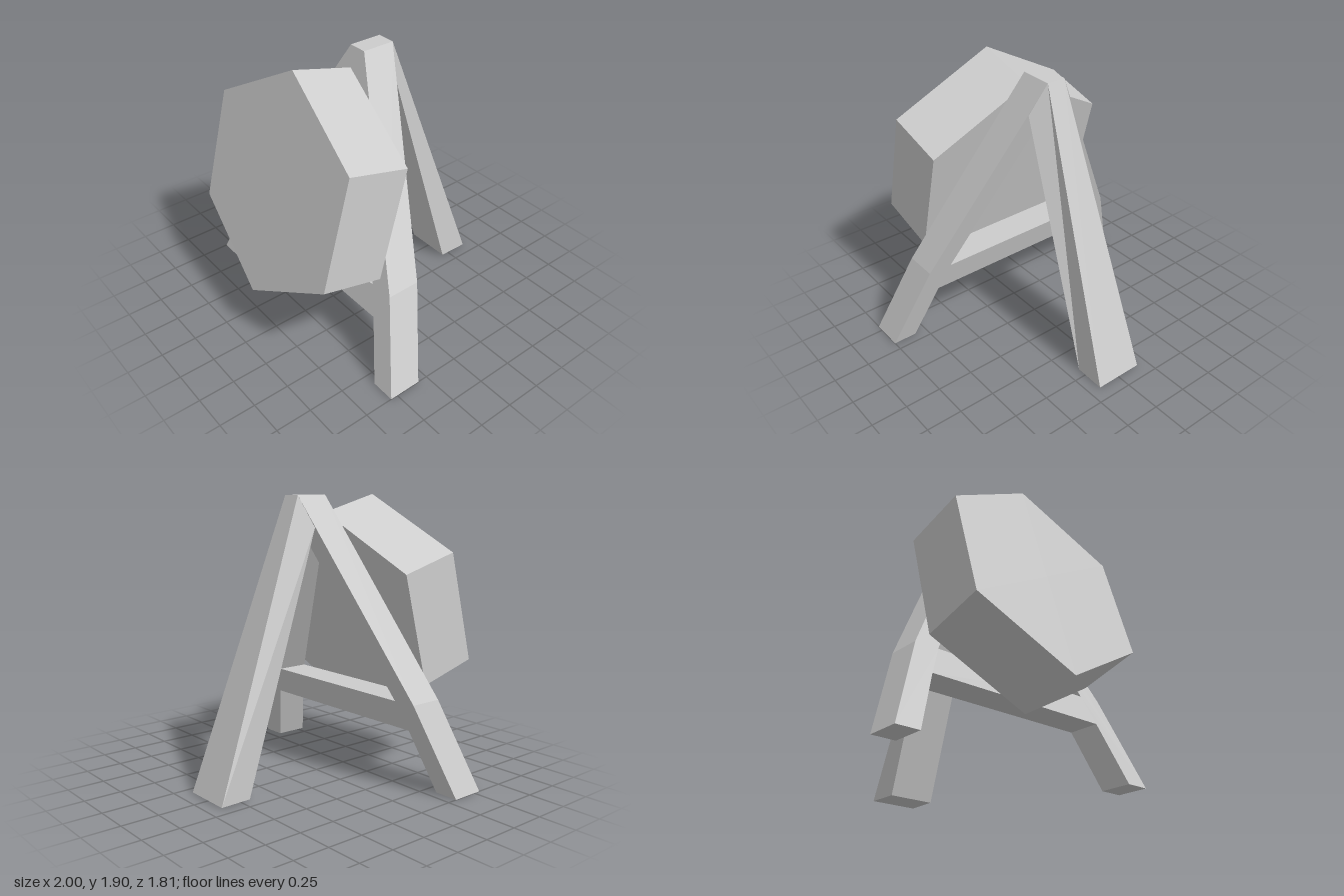
import * as THREE from 'three';

export function createModel() {
  const model = new THREE.Group();
  const grey = new THREE.MeshStandardMaterial({ color: 0xcccccc, flatShading: true });
  grey.name = 'light grey';

  const add = (name, geometry) => {
    const mesh = new THREE.Mesh(geometry, grey);
    mesh.name = name;
    model.add(mesh);
    return mesh;
  };
  const points = (list) => list.map(([x, y]) => new THREE.Vector2(x, y));

  // A-shaped front frame with splayed feet and a triangular opening
  const half = [[0.065, 1.905], [0.77, 0.6], [1, 0], [0.833, 0], [0.682, 0.405]];
  const mirrored = half.map(([x, y]) => [-x, y]).reverse();
  const outline = new THREE.Shape(points([...half, ...mirrored]));
  outline.holes.push(new THREE.Path(points([[-0.605, 0.597], [0.605, 0.597], [0, 1.715]])));
  const frame = new THREE.ExtrudeGeometry(outline, { depth: 0.23, bevelEnabled: false });

  // Lean the frame back by shearing it along z
  const fp = frame.attributes.position;
  for (let i = 0; i < fp.count; i++) {
    fp.setZ(i, fp.getZ(i) + 0.32 - 0.2782 * fp.getY(i));
  }
  frame.computeVertexNormals();
  add('frontFrame', frame);

  // Back leg: a box with its corners moved to a slanted, tapering post
  const leg = new THREE.BoxGeometry(2, 2, 2);
  const lp = leg.attributes.position;
  for (let i = 0; i < lp.count; i++) {
    const top = lp.getY(i) > 0;
    const inner = lp.getZ(i) > 0;
    const [w, y, z] = top
      ? (inner ? [0.168, 1.71, -0.15] : [0.065, 1.905, -0.21])
      : (inner ? [0.165, 0.008, -0.69] : [0.17, 0.008, -0.905]);
    lp.setXYZ(i, lp.getX(i) * w, y, z);
  }
  leg.computeVertexNormals();
  add('backLeg', leg);

  // Thick hexagonal target leaning against the frame
  const hexagon = new THREE.CylinderGeometry(0.768, 0.768, 0.449, 6);
  hexagon.rotateX(Math.PI / 2);
  const target = add('target', hexagon);
  target.rotation.x = -0.262;
  target.position.set(0, 1.105, 0.491);

  return model;
}
